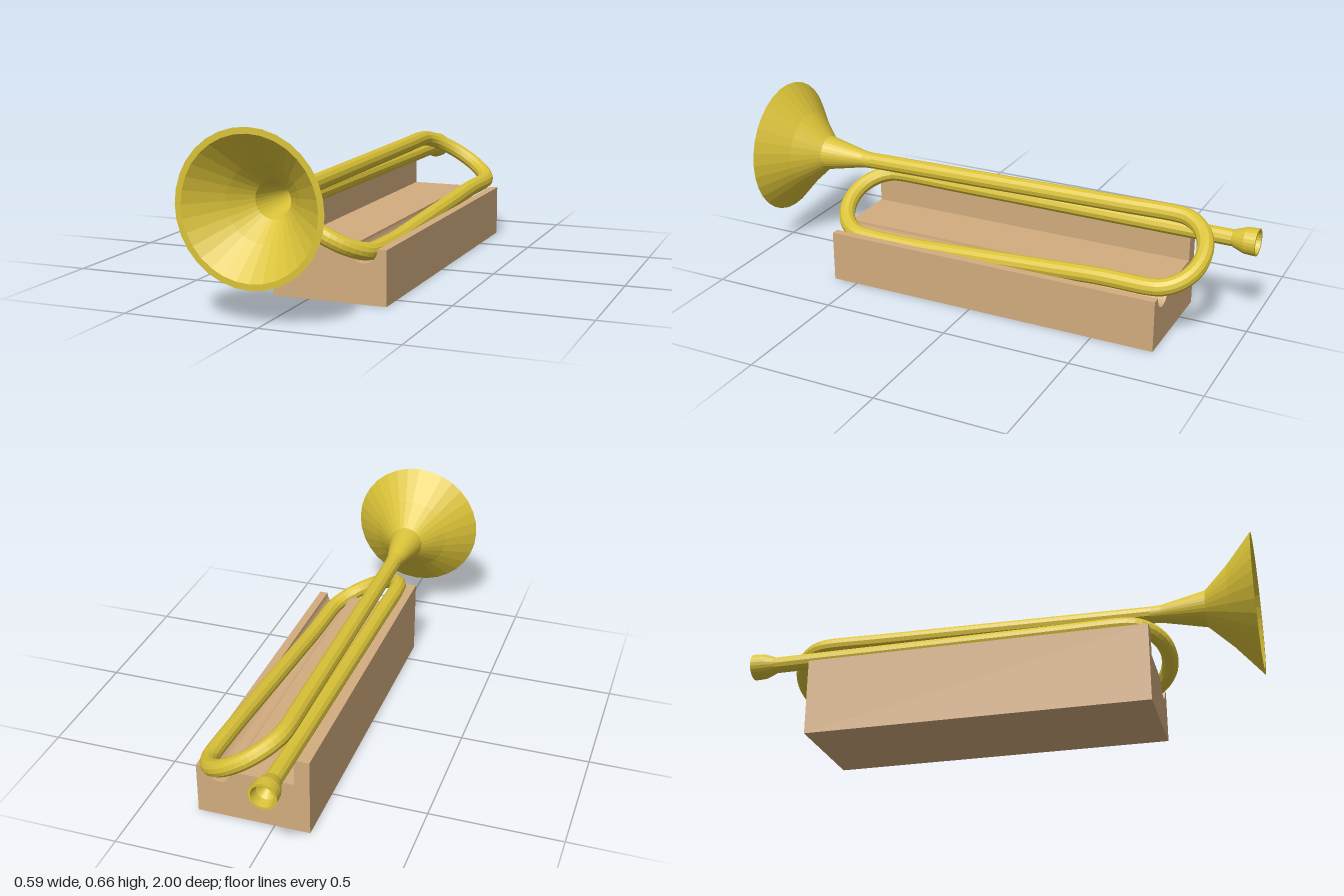
import * as THREE from 'three';

const V = (x, y, z) => new THREE.Vector3(x, y, z);

// Half-ellipse bend from point a to point b, bulging along z by depth
function bend(a, b, depth, steps = 12) {
  const pts = [];
  for (let i = 0; i <= steps; i++) {
    const t = (i / steps) * Math.PI;
    const p = a.clone().lerp(b, (1 - Math.cos(t)) / 2);
    p.z += depth * Math.sin(t);
    pts.push(p);
  }
  return pts;
}

// Points strictly between a and b, keeping straight runs straight
function run(a, b, n) {
  return Array.from({ length: n }, (_, i) => a.clone().lerp(b, (i + 1) / (n + 1)));
}

// Turned part whose profile is [radius, distance along z]; dir = +1 or -1
function turned(profile, sides, dir, material, name) {
  const geo = new THREE.LatheGeometry(profile.map(([r, h]) => new THREE.Vector2(r, h)), sides);
  geo.rotateX(dir * Math.PI / 2);
  const mesh = new THREE.Mesh(geo, material);
  mesh.name = name;
  return mesh;
}

export function createModel() {
  const brass = new THREE.MeshStandardMaterial({ color: 0xdac238, flatShading: true });
  brass.name = 'brass';
  const wood = new THREE.MeshStandardMaterial({ color: 0xd2ac7e, flatShading: true });
  wood.name = 'wood';

  const model = new THREE.Group();
  model.name = 'bugleOnStand';
  const bugle = new THREE.Group();
  bugle.name = 'bugle';
  model.add(bugle);

  // Bell: flared outside, flat lip, hollow inside down to the throat
  const bell = turned([
    [0.032, 0.6], [0.034, 0.64], [0.07, 0.81], [0.155, 0.9], [0.268, 1],
    [0.246, 1], [0.135, 0.892], [0.066, 0.815], [0.03, 0.65], [0, 0.55],
  ], 32, 1, brass, 'bell');
  bell.position.set(-0.028, 0.39, 0);
  bugle.add(bell);

  // One continuous tube: bell, rear bend, lower run, front bend, lead pipe
  const start = V(-0.028, 0.39, 0.63);
  const rearA = V(-0.038, 0.402, -0.7), rearB = V(0.247, 0.232, -0.7);
  const dip = V(0.241, 0.228, -0.5), low = V(0.221, 0.175, 0.3);
  const frontA = V(0.214, 0.174, 0.5), frontB = V(-0.08, 0.332, 0.5);
  const end = V(-0.065, 0.335, -0.92);
  const path = [
    start, ...run(start, rearA, 5),
    ...bend(rearA, rearB, -0.148),
    dip, ...run(dip, low, 3), low,
    ...bend(frontA, frontB, 0.15),
    ...run(frontB, end, 5), end,
  ];
  const tube = new THREE.Mesh(
    new THREE.TubeGeometry(new THREE.CatmullRomCurve3(path, false, 'centripetal'), 220, 0.032, 12),
    brass);
  tube.name = 'tubing';
  bugle.add(tube);

  // Mouthpiece with a hollow cup
  const mouthpiece = turned([
    [0.028, 0.9], [0.034, 0.912], [0.05, 0.955], [0.052, 1],
    [0.043, 1], [0.036, 0.965], [0, 0.925],
  ], 24, -1, brass, 'mouthpiece');
  mouthpiece.position.set(-0.065, 0.335, 0);
  bugle.add(mouthpiece);

  // Wooden stand: raised ledge for the lead pipe and a groove for the lower run
  const outline = new THREE.Shape();
  outline.moveTo(-0.135, 0);
  outline.lineTo(0.295, 0);
  outline.lineTo(0.295, 0.2);
  outline.lineTo(0.262, 0.2);
  outline.absarc(0.208, 0.2, 0.054, 0, Math.PI, true);
  outline.lineTo(-0.078, 0.2);
  outline.lineTo(-0.078, 0.305);
  outline.lineTo(-0.135, 0.305);
  outline.closePath();
  const standGeo = new THREE.ExtrudeGeometry(outline, { depth: 1.34, bevelEnabled: false, curveSegments: 10 });
  standGeo.translate(0, 0, -0.74);
  const stand = new THREE.Mesh(standGeo, wood);
  stand.name = 'stand';
  model.add(stand);

  return model;
}
